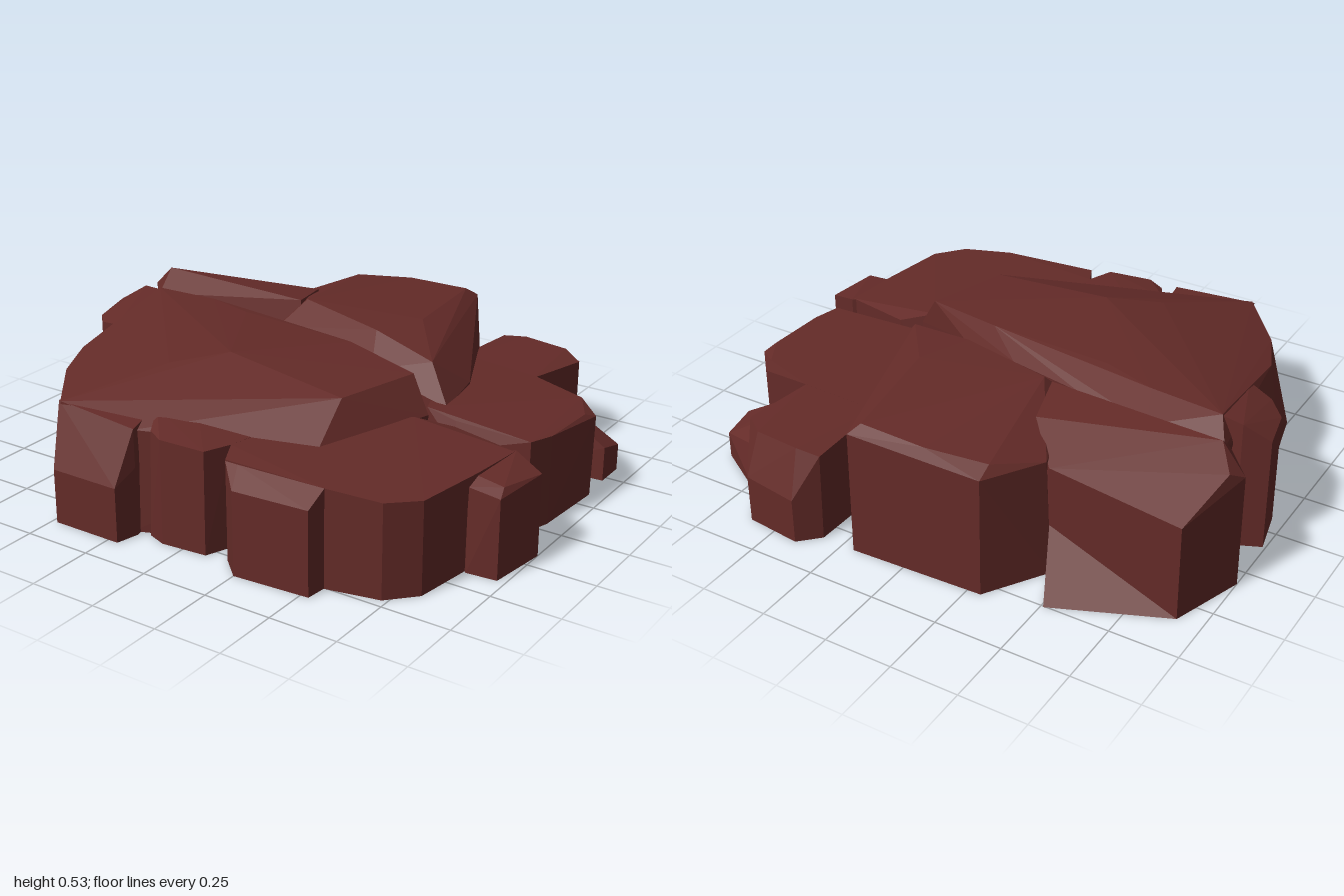
import * as THREE from 'three';
import { ConvexGeometry } from 'three/addons/geometries/ConvexGeometry.js';

const stone = new THREE.MeshStandardMaterial({ color: 0x642b28, flatShading: true });

// One faceted boulder: ground corners [x, z] and upper corners [x, y, z] wrapped in a convex skin.
function boulder(name, foot, upper) {
  const points = [
    ...foot.map(([x, z]) => new THREE.Vector3(x, 0, z)),
    ...upper.map(([x, y, z]) => new THREE.Vector3(x, y, z)),
  ];
  const mesh = new THREE.Mesh(new ConvexGeometry(points), stone);
  mesh.name = name;
  return mesh;
}

export function createModel() {
  const group = new THREE.Group();
  group.name = 'rockOutcrop';

  group.add(
    // Tall front slab, sloping back into the crack and forward to the ledges
    boulder('frontSlab',
      [[-0.8, 0.2], [-0.81, 0.42], [-0.7, 0.56], [-0.52, 0.79], [-0.22, 0.79], [0.37, 0.54],
        [0.48, 0.2], [0.5, 0.08], [0.25, -0.03], [-0.3, -0.17], [-0.6, -0.23], [-0.8, -0.2]],
      [[-0.82, 0.5, -0.12], [-0.55, 0.51, -0.11], [-0.35, 0.515, -0.05], [0.13, 0.51, -0.02],
        [0.44, 0.485, 0.06], [0.35, 0.48, 0.37], [-0.13, 0.53, 0.34], [-0.3, 0.495, 0.47],
        [0.37, 0.36, 0.54], [0.47, 0.36, 0.25], [0.52, 0.36, 0.09], [-0.8, 0.44, 0.18],
        [-0.78, 0.42, 0.38], [-0.84, 0.17, 0.43], [-0.84, 0.3, 0.3], [-0.7, 0.41, 0.56],
        [-0.52, 0.41, 0.79], [-0.22, 0.39, 0.66], [-0.22, 0.37, 0.77], [-0.87, 0.43, -0.2],
        [-0.6, 0.45, -0.235], [-0.3, 0.45, -0.17], [0, 0.44, -0.1], [0.25, 0.42, -0.03]]),
    boulder('leftKnob',
      [[-0.99, -0.09], [-0.95, 0.08], [-0.88, 0.155], [-0.78, 0.19], [-0.7, -0.1], [-0.9, -0.13]],
      [[-0.99, 0.43, -0.09], [-0.95, 0.42, 0.08], [-0.88, 0.43, 0.155], [-0.78, 0.45, 0.19],
        [-0.7, 0.5, -0.1], [-0.9, 0.49, -0.13]]),

    // Front row of low blocks
    boulder('frontLeftBlock',
      [[-0.53, 0.78], [-0.48, 0.885], [-0.21, 0.885], [-0.19, 0.8], [-0.23, 0.65], [-0.5, 0.6]],
      [[-0.48, 0.2, 0.885], [-0.21, 0.2, 0.885], [-0.19, 0.25, 0.8], [-0.53, 0.41, 0.785],
        [-0.2, 0.385, 0.79], [-0.23, 0.4, 0.65], [-0.5, 0.41, 0.6]]),
    boulder('frontMiddleBlock',
      [[-0.15, 0.78], [-0.08, 0.805], [0.09, 0.79], [0.13, 0.69], [0.2, 0.4], [-0.25, 0.4], [-0.21, 0.65]],
      [[-0.15, 0.38, 0.76], [-0.08, 0.38, 0.8], [0.09, 0.375, 0.785], [0.13, 0.375, 0.69],
        [0.2, 0.38, 0.4], [-0.25, 0.44, 0.4], [-0.21, 0.41, 0.65]]),
    boulder('frontRightLedge',
      [[0.13, 0.69], [0.17, 0.775], [0.54, 0.755], [0.73, 0.715], [0.82, 0.62], [0.86, 0.35],
        [0.88, 0.14], [0.6, 0.08], [0.45, 0.1], [0.15, 0.4]],
      [[0.13, 0.375, 0.69], [0.17, 0.365, 0.775], [0.54, 0.355, 0.755], [0.73, 0.34, 0.715],
        [0.82, 0.335, 0.62], [0.86, 0.335, 0.35], [0.88, 0.335, 0.14], [0.62, 0.34, 0.085],
        [0.5, 0.37, 0.15], [0.15, 0.38, 0.4]]),
    boulder('frontRightKnob',
      [[0.17, 0.775], [0.25, 0.85], [0.53, 0.83], [0.54, 0.74], [0.25, 0.6]],
      [[0.17, 0.36, 0.775], [0.25, 0.305, 0.85], [0.53, 0.305, 0.83], [0.54, 0.355, 0.755],
        [0.22, 0.36, 0.775], [0.25, 0.36, 0.6]]),
    boulder('rightKnob',
      [[0.84, 0.39], [0.86, 0.41], [0.97, 0.4], [1, 0.175], [0.88, 0.13], [0.75, 0.2]],
      [[0.85, 0.3, 0.395], [0.97, 0.29, 0.4], [0.96, 0.315, 0.36], [1, 0.3, 0.175],
        [0.88, 0.335, 0.13], [0.75, 0.335, 0.2], [0.86, 0.325, 0.35]]),

    // Back slabs behind the crack
    boulder('backLeftSlab',
      [[-0.91, -0.585], [-1, -0.32], [-0.89, -0.2], [-0.6, -0.23], [-0.2, -0.14], [-0.2, -0.5], [-0.43, -0.585]],
      [[-0.91, 0.36, -0.585], [-0.43, 0.42, -0.585], [-1, 0.43, -0.32], [-0.97, 0.465, -0.38],
        [-0.89, 0.44, -0.2], [-0.9, 0.52, -0.29], [-0.55, 0.515, -0.31], [-0.25, 0.52, -0.26],
        [-0.3, 0.5, -0.45], [-0.6, 0.42, -0.23]]),
    boulder('backLeftSpur',
      [[-0.91, -0.585], [-0.51, -0.755], [-0.43, -0.57], [-0.6, -0.5]],
      [[-0.43, 0.2, -0.58], [-0.6, 0.1, -0.5]]),
    boulder('backMiddleSlab',
      [[-0.44, -0.585], [-0.3, -0.805], [0.2, -0.825], [0.32, -0.63], [0.34, -0.45], [0.49, -0.25],
        [0.53, 0], [0.2, -0.06], [-0.3, -0.18]],
      [[-0.42, 0.44, -0.585], [-0.3, 0.45, -0.8], [0.2, 0.47, -0.82], [-0.3, 0.48, -0.74],
        [-0.08, 0.495, -0.785], [0.17, 0.5, -0.78], [0.23, 0.515, -0.35], [-0.22, 0.53, -0.26],
        [0.15, 0.515, -0.16], [0.42, 0.47, -0.1], [0.32, 0.35, -0.63], [0.34, 0.36, -0.45],
        [0.49, 0.36, -0.25], [0.53, 0.35, -0.02], [0.2, 0.41, -0.05], [-0.3, 0.43, -0.18]]),

    // Low blocks at the back right
    boulder('rightLedge',
      [[0.3, -0.5], [0.64, -0.475], [0.88, -0.41], [0.94, -0.34], [0.92, -0.05], [0.89, 0.045],
        [0.62, 0.075], [0.48, 0.05]],
      [[0.3, 0.35, -0.5], [0.64, 0.34, -0.475], [0.86, 0.335, -0.4], [0.88, 0.29, -0.41],
        [0.95, 0.31, -0.33], [0.93, 0.33, -0.28], [0.92, 0.33, -0.05], [0.89, 0.335, 0.045],
        [0.62, 0.25, 0.075], [0.6, 0.34, 0.04], [0.48, 0.36, 0.03]]),
    boulder('backRightBlock',
      [[0.33, -0.82], [0.4, -0.89], [0.61, -0.865], [0.69, -0.73], [0.64, -0.46], [0.32, -0.45]],
      [[0.33, 0.33, -0.81], [0.4, 0.17, -0.89], [0.61, 0.18, -0.865], [0.42, 0.34, -0.82],
        [0.6, 0.335, -0.8], [0.69, 0.325, -0.73], [0.64, 0.34, -0.46], [0.32, 0.35, -0.45]]),
    boulder('backRightKnob',
      [[0.66, -0.72], [0.72, -0.72], [0.93, -0.59], [0.93, -0.47], [0.64, -0.45]],
      [[0.7, 0.16, -0.68], [0.93, 0.1, -0.59], [0.93, 0.13, -0.47], [0.68, 0.28, -0.475],
        [0.64, 0.28, -0.55]]),
  );
  return group;
}
